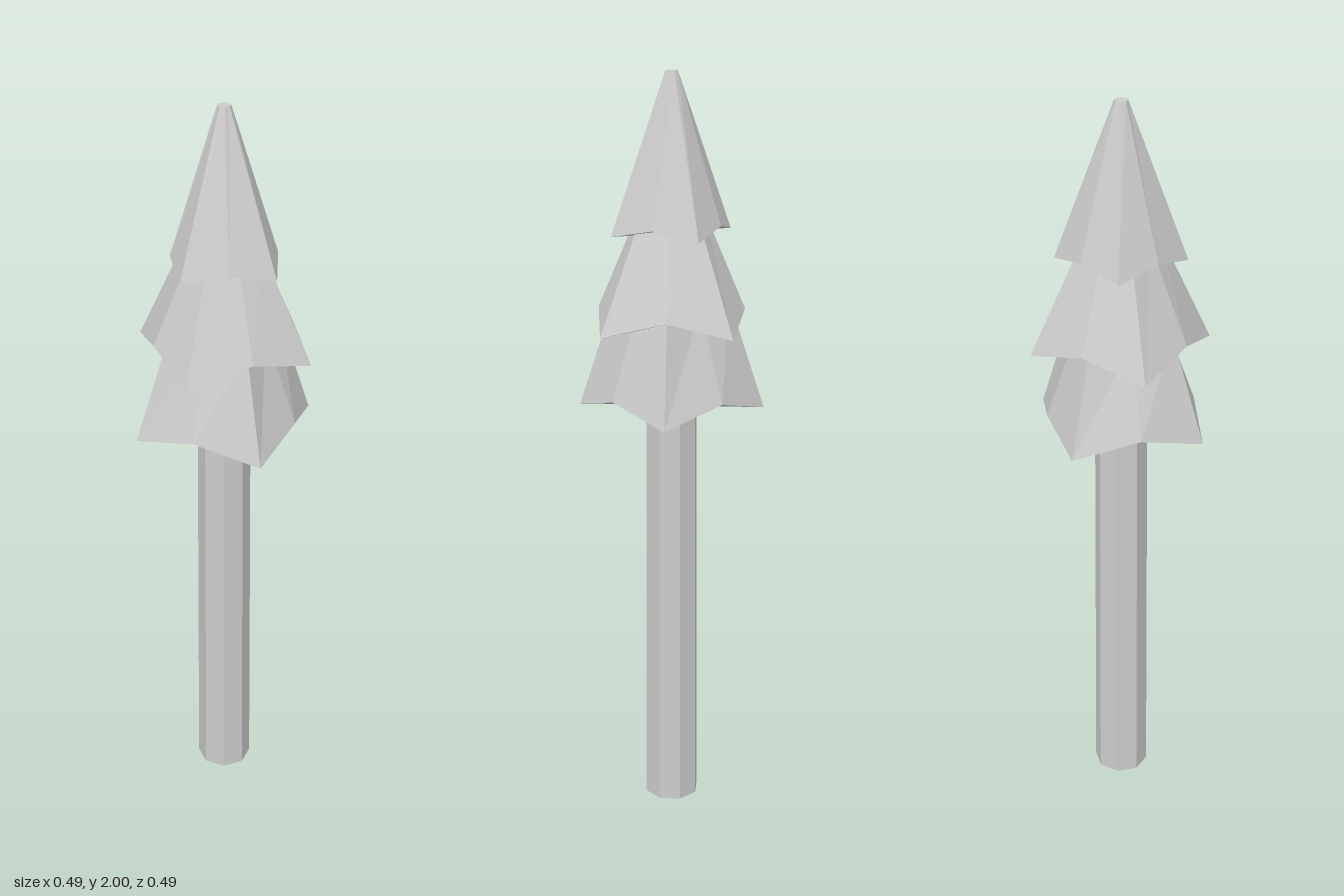
import * as THREE from 'three';

const SIDES = 8;

// Faceted copy of a geometry: every face gets its own flat normal
function faceted(geometry) {
  const flat = geometry.toNonIndexed();
  flat.computeVertexNormals();
  return flat;
}

// Tapered eight-sided tier whose rim alternates low tips and raised, drawn-in notches
function tierGeometry({ y0, notchY, y1, tip, notch, topTip, topNotch, turn }) {
  const geometry = new THREE.CylinderGeometry(1, 1, 2, SIDES);
  const p = geometry.attributes.position;
  for (let i = 0; i < p.count; i++) {
    const x = p.getX(i), z = p.getZ(i);
    const top = p.getY(i) > 0;
    const centre = Math.hypot(x, z) < 0.5;
    const step = Math.round(Math.atan2(x, z) / (Math.PI / 4));
    const isNotch = !centre && Math.abs(step) % 2 === 1;
    const r = top ? (isNotch ? topNotch : topTip) : (isNotch ? notch : tip);
    p.setXYZ(i, x * r, top ? y1 : (isNotch ? notchY : y0), z * r);
  }
  geometry.rotateY(THREE.MathUtils.degToRad(turn));
  return faceted(geometry);
}

export function createModel() {
  const model = new THREE.Group();
  model.name = 'tree';
  const paleGrey = new THREE.MeshStandardMaterial({ color: 0xcccccc });
  paleGrey.name = 'pale grey';

  const add = (name, geometry) => {
    const mesh = new THREE.Mesh(geometry, paleGrey);
    mesh.name = name;
    model.add(mesh);
  };

  // Tall octagonal trunk with a slight taper
  const trunk = new THREE.CylinderGeometry(0.069, 0.075, 1.16, SIDES);
  trunk.rotateY(Math.PI / 8);
  trunk.translate(0, 0.58, 0);
  add('trunk', faceted(trunk));

  // Three stacked foliage tiers, each turned against the one below
  add('lowerFoliage', tierGeometry({
    y0: 1.135, notchY: 1.18, y1: 1.42,
    tip: 0.243, notch: 0.198, topTip: 0.15, topNotch: 0.113, turn: 0,
  }));
  add('middleFoliage', tierGeometry({
    y0: 1.355, notchY: 1.4, y1: 1.65,
    tip: 0.237, notch: 0.19, topTip: 0.1, topNotch: 0.084, turn: 45,
  }));
  add('upperFoliage', tierGeometry({
    y0: 1.595, notchY: 1.62, y1: 2,
    tip: 0.167, notch: 0.134, topTip: 0.017, topNotch: 0.017, turn: 28,
  }));

  return model;
}
